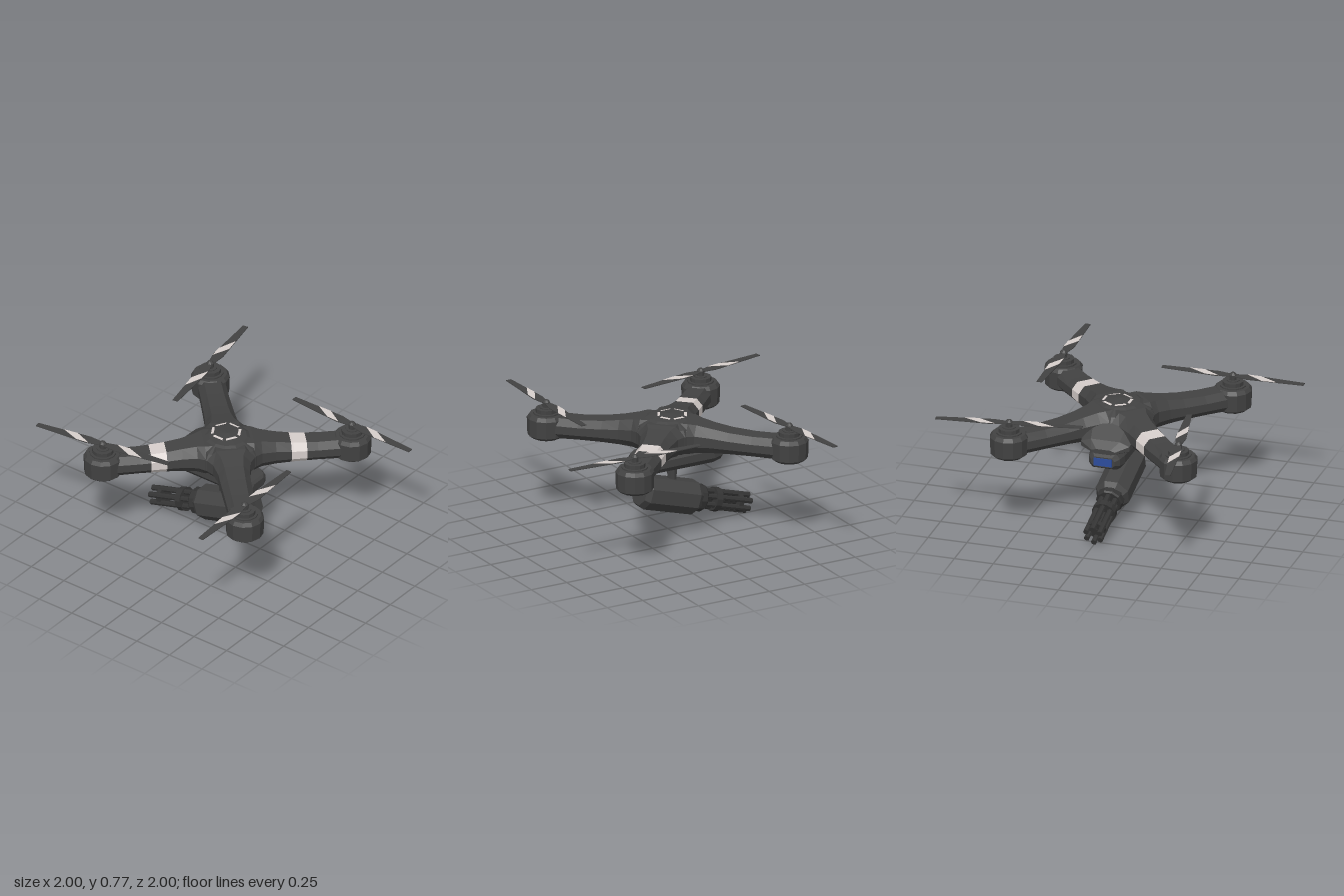
import * as THREE from 'three';

const mat = (name, color) => Object.assign(new THREE.MeshStandardMaterial({ color }), { name });

// Faceted normals for the low-poly look
function flat(geo) {
  const g = geo.index ? geo.toNonIndexed() : geo;
  g.computeVertexNormals();
  return g;
}

// Closed skin through equal-length rings ordered along +z
function loft(rings) {
  const n = rings[0].length, idx = [];
  for (let k = 0; k < rings.length - 1; k++)
    for (let i = 0; i < n; i++) {
      const j = (i + 1) % n, a = k * n + i, b = k * n + j;
      idx.push(a, b, b + n, a, b + n, a + n);
    }
  const e = (rings.length - 1) * n;
  for (let i = 1; i < n - 1; i++) idx.push(0, i + 1, i, e, e + i, e + i + 1);
  const g = new THREE.BufferGeometry();
  g.setAttribute('position', new THREE.Float32BufferAttribute(rings.flat(2), 3));
  g.setIndex(idx);
  return flat(g);
}

// Bevelled eight-point section: [z, half width, bottom, top], with top and bottom width ratios
function section([z, w, b, t], kt = 0.6, kb = 0.65) {
  const h = t - b;
  const side = [[w * kb, b], [w, b + h * 0.28], [w, b + h * 0.68], [w * kt, t]];
  const other = side.map(([x, y]) => [-x, y]).reverse();
  return [...side, ...other].map(([x, y]) => [x, y, z]);
}

const lathe = (pts, sides) =>
  flat(new THREE.LatheGeometry(pts.map(p => new THREE.Vector2(...p)), sides));

// Arm stations along the diagonal
const ARM = [[0, 0.15, 0.55, 0.74], [0.152, 0.152, 0.545, 0.738], [0.2, 0.118, 0.55, 0.728],
  [0.29, 0.098, 0.553, 0.71], [0.4, 0.093, 0.556, 0.692], [0.55, 0.088, 0.555, 0.681], [0.74, 0.085, 0.55, 0.682]];

function armAt(d) {
  const i = Math.max(0, ARM.findIndex((s, k) => k < ARM.length - 1 && d <= ARM[k + 1][0]));
  const t = (d - ARM[i][0]) / (ARM[i + 1][0] - ARM[i][0]);
  return ARM[i].map((v, k) => v + (ARM[i + 1][k] - v) * t);
}

const armPart = (d0, d1) =>
  loft([armAt(d0), ...ARM.filter(s => s[0] > d0 && s[0] < d1), armAt(d1)].map(s => section(s)));

// Flat plate in the xz plane with its top at y = 0
function plate(pts, depth) {
  const shape = new THREE.Shape(pts.map(p => new THREE.Vector2(...p)));
  return flat(new THREE.ExtrudeGeometry(shape, { depth, bevelEnabled: false }).rotateX(Math.PI / 2));
}

export function createModel() {
  const dark = mat('charcoal', 0x424242);
  const black = mat('gunBlack', 0x343434);
  const white = mat('paleGrey', 0xd6cecb);
  const blue = mat('lensBlue', 0x2c4c9c);
  const model = new THREE.Group();
  model.name = 'armedQuadcopter';
  const add = (parent, name, geo, material, x = 0, y = 0, z = 0) => {
    const m = new THREE.Mesh(geo, material);
    m.name = name;
    m.position.set(x, y, z);
    parent.add(m);
    return m;
  };

  // Central hull
  add(model, 'hull', lathe([[0, 0.54], [0.17, 0.545], [0.218, 0.6], [0.218, 0.675],
    [0.195, 0.712], [0.12, 0.748], [0, 0.764]], 12), dark);

  // Rear hood over the lens
  add(model, 'rearHood', loft([[-0.358, 0.075, 0.535, 0.565], [-0.315, 0.155, 0.535, 0.61],
    [-0.2, 0.18, 0.54, 0.69], [-0.1, 0.18, 0.545, 0.71]].map(s => section(s))), dark);

  // Broken hexagon marking on the dome
  for (let i = 0; i < 6; i++) {
    const pts = [[0.098, 0.756], [0.08, 0.7585]].map(p => new THREE.Vector2(...p));
    const seg = new THREE.LatheGeometry(pts, 1, i * Math.PI / 3 + 0.12, Math.PI / 3 - 0.24);
    add(model, 'topMarking', flat(seg), white, 0.015, 0.001, -0.022);
  }
  white.side = THREE.DoubleSide;

  // Arms, with pale bands on one diagonal
  const corners = [[1, 1], [1, -1], [-1, -1], [-1, 1]];
  for (const [sx, sz] of corners) {
    const arm = new THREE.Group();
    arm.name = 'arm';
    arm.rotation.y = Math.atan2(sx, sz);
    model.add(arm);
    if (sx === sz) {
      add(arm, 'armInner', armPart(0, 0.385), dark);
      add(arm, 'armBand', armPart(0.385, 0.482), white);
      add(arm, 'armOuter', armPart(0.482, 0.74), dark);
    } else add(arm, 'armBeam', armPart(0, 0.74), dark);
    add(arm, 'armLight', new THREE.BoxGeometry(0.04, 0.008, 0.085), blue, 0, 0.553, 0.545);
  }

  // Rotor pods, motors and propellers
  const w = r => 0.034 - (r - 0.1) * 0.048;
  const half = [[0.1, w(0.1)], [0.455, w(0.455)], [0.455, -w(0.455)], [0.1, -w(0.1)]];
  const bladeGeo = plate([[0, 0.016], ...half, [0, -0.016],
    ...half.map(([x, y]) => [-x, -y])], 0.005);
  const stripe = [[0.085, -0.031], [0.17, -w(0.17)], [0.28, w(0.28)], [0.19, w(0.19)]];
  const stripeGeo = plate(stripe, 0.004);
  const podGeo = lathe([[0, 0.535], [0.09, 0.535], [0.116, 0.555], [0.12, 0.665], [0.104, 0.688], [0, 0.69]], 12);
  const motorGeo = lathe([[0.082, 0.685], [0.082, 0.697], [0.066, 0.697], [0.066, 0.722], [0.04, 0.722],
    [0.04, 0.728], [0, 0.728]], 12);
  const capGeo = lathe([[0.022, 0.72], [0.024, 0.76], [0.012, 0.774], [0, 0.777]], 8);
  const bladeDir = [[0.01, -0.455], [0.45, -0.07], [-0.075, -0.45], [-0.455, 0.005]];
  corners.forEach(([sx, sz], i) => {
    const rotor = new THREE.Group();
    rotor.name = 'rotor';
    rotor.position.set(sx * 0.545, 0, sz * 0.545);
    model.add(rotor);
    add(rotor, 'rotorPod', podGeo, dark);
    add(rotor, 'motor', motorGeo, dark);
    add(rotor, 'rotorCap', capGeo, dark);
    const prop = new THREE.Group();
    prop.name = 'propeller';
    prop.position.y = 0.756;
    prop.rotation.y = Math.atan2(-bladeDir[i][1], bladeDir[i][0]);
    rotor.add(prop);
    add(prop, 'blades', bladeGeo, dark);
    for (const a of [0, Math.PI]) add(prop, 'bladeStripe', stripeGeo, white, 0, 0.002).rotation.y = a;
  });

  // Belly pod with rear lens
  add(model, 'bellyPod', loft([[-0.362, 0.075, 0.45, 0.515], [-0.33, 0.1, 0.43, 0.538],
    [-0.27, 0.112, 0.418, 0.545], [0.19, 0.11, 0.418, 0.532], [0.225, 0.09, 0.435, 0.52],
    [0.24, 0.06, 0.455, 0.505]].map(s => section(s, 0.75, 0.75))), dark);
  add(model, 'rearLens', new THREE.BoxGeometry(0.115, 0.05, 0.009), blue, 0, 0.483, -0.363);

  // Gun mount
  add(model, 'gunMount', flat(new THREE.CylinderGeometry(0.036, 0.026, 0.12, 8)), dark, 0, 0.37, -0.03);

  // Tilted gun: local -z is the muzzle direction
  const gun = new THREE.Group();
  gun.name = 'gun';
  gun.position.set(0, 0.29, 0.2);
  gun.rotation.x = -0.28;
  model.add(gun);
  const along = (pts, sides) => lathe(pts, sides).rotateY(Math.PI / sides).rotateX(Math.PI / 2);
  add(gun, 'gunHousing', along([[0, -0.42], [0.085, -0.42], [0.111, -0.385], [0.111, -0.035],
    [0.09, 0], [0, 0]], 8), dark);
  add(gun, 'gunCollar', along([[0, -0.46], [0.078, -0.46], [0.086, -0.45], [0.086, -0.41], [0, -0.41]], 10), black);
  add(gun, 'barrelClamp', along([[0, -0.57], [0.076, -0.57], [0.076, -0.53], [0, -0.53]], 12), black);
  add(gun, 'muzzleClamp', along([[0, -0.735], [0.058, -0.735], [0.058, -0.705], [0, -0.705]], 12), black);
  const barrelGeo = flat(new THREE.CylinderGeometry(0.018, 0.018, 0.36, 8).rotateX(Math.PI / 2));
  for (let i = 0; i < 6; i++) {
    const a = (i + 0.5) * Math.PI / 3;
    add(gun, 'barrel', barrelGeo, black, Math.cos(a) * 0.05, Math.sin(a) * 0.05, -0.61);
  }
  add(gun, 'barrelCore', flat(new THREE.CylinderGeometry(0.018, 0.018, 0.32, 8).rotateX(Math.PI / 2)), black, 0, 0, -0.58);
  return model;
}
